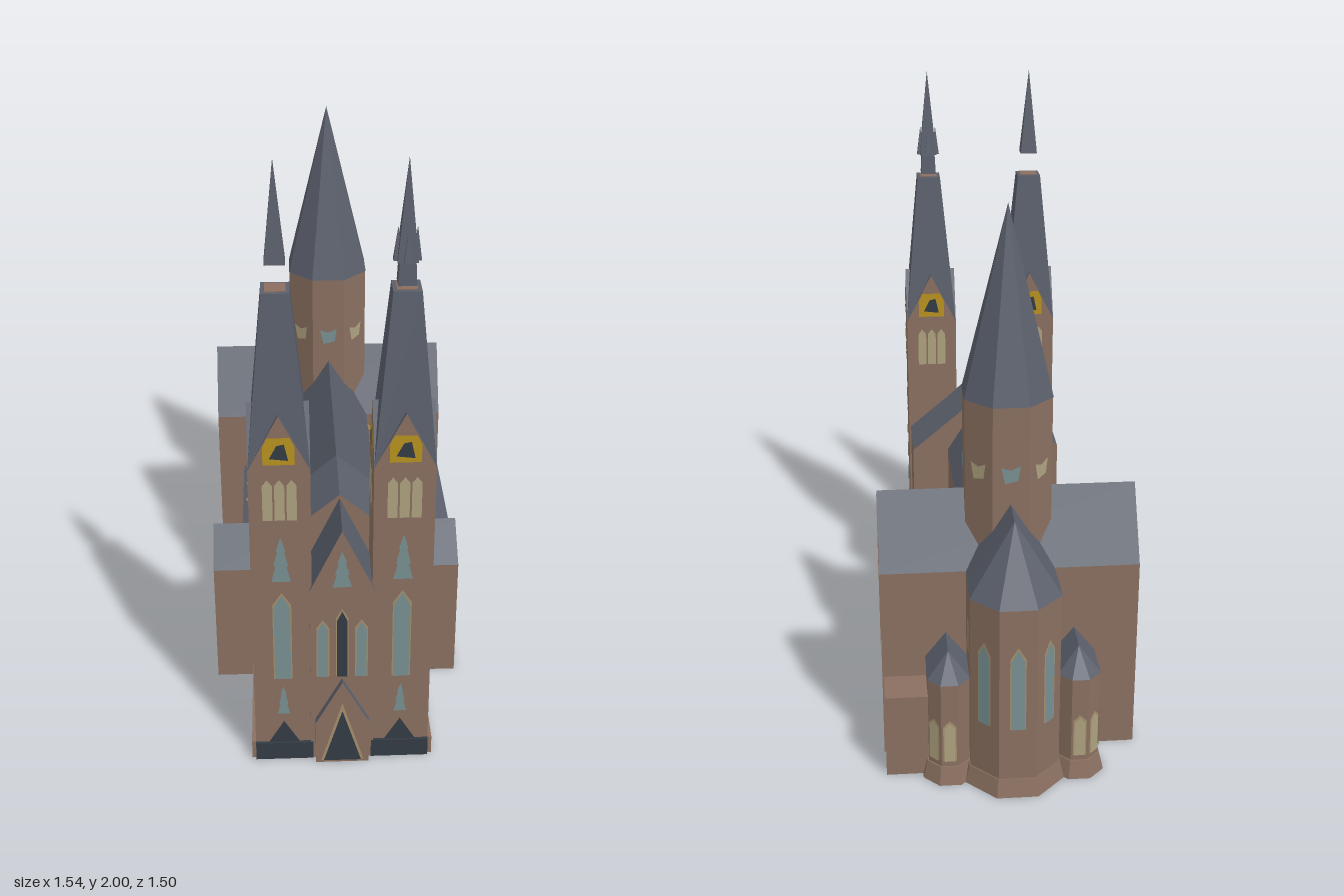
import * as THREE from 'three';

const mat = (name, color) => Object.assign(new THREE.MeshStandardMaterial({ color }), { name });

export function createModel() {
  const wall = mat('brown stone', 0x8a6f60), slate = mat('slate', 0x5a5f6b);
  const glass = mat('glass', 0x789093), dark = mat('dark door', 0x333b44);
  const cream = mat('cream louvre', 0xada17f), gold = mat('gold clock', 0xb8921e);
  const trim = mat('tan trim', 0xa58f6c);
  trim.side = THREE.DoubleSide;

  const root = new THREE.Group(); root.name = 'church';
  // Inside this group the church runs along z (west front at +z), crossing at the origin
  const church = new THREE.Group(); church.name = 'churchBody';
  church.position.set(0.29, 0, -0.335);
  church.rotation.y = -0.765;
  root.add(church);

  const add = (name, geo, m, parent = church) => {
    const mesh = new THREE.Mesh(geo, m);
    mesh.name = name;
    parent.add(mesh);
    return mesh;
  };
  const box = (name, x0, x1, y0, y1, z0, z1, m = wall) =>
    add(name, new THREE.BoxGeometry(Math.abs(x1 - x0), y1 - y0, Math.abs(z1 - z0))
      .translate((x0 + x1) / 2, (y0 + y1) / 2, (z0 + z1) / 2), m);
  // Faceted cylinder or cone with its flats on the axes
  const facet = (name, rTop, rBot, y0, y1, n, x, z, m) => {
    const g = new THREE.CylinderGeometry(rTop, rBot, y1 - y0, n).rotateY(Math.PI / n).toNonIndexed();
    g.computeVertexNormals();
    return add(name, g.translate(x, (y0 + y1) / 2, z), m);
  };
  const poly = pts => new THREE.Shape(pts.map(p => new THREE.Vector2(...p)));
  // Triangular roof prism: stone gable ends, slate slopes
  const roof = (name, w, len, eave, peak, x, z, ry = 0) => {
    const g = new THREE.ExtrudeGeometry(poly([[-w / 2, eave], [w / 2, eave], [0, peak]]), { depth: len, bevelEnabled: false });
    const mesh = add(name, g.translate(0, 0, -len / 2), [wall, slate]);
    mesh.position.set(x, 0, z);
    mesh.rotation.y = ry;
  };
  const plate = (name, pts, m, parent, lift) =>
    add(name, new THREE.ShapeGeometry(poly(pts)).translate(0, 0, lift), m, parent);
  const face = (name, x, y, z, ry) => {
    const g = new THREE.Group();
    g.name = name;
    g.position.set(x, y, z);
    g.rotation.y = ry;
    church.add(g);
    return g;
  };
  const lancet = (w, h) => [[-w / 2, 0], [w / 2, 0], [w / 2, h * 0.86], [0, h], [-w / 2, h * 0.86]];
  // Pointed window with a trim border
  const win = (x, y, z, w, h, ry, m = glass) => {
    const g = face('window', x, y, z, ry);
    plate('windowFrame', lancet(w + 0.008, h + 0.008), trim, g, 0.002);
    plate('windowPane', lancet(w, h), m, g, 0.004);
  };
  // Small stepped triangular tracery window
  const tracery = (x, y, z, w, h, ry) => {
    const a = w / 2;
    plate('traceryWindow', [[-a, 0], [a, 0], [a * 0.55, h * 0.35], [a * 0.75, h * 0.35], [a * 0.35, h * 0.68],
      [a * 0.5, h * 0.68], [0, h], [-a * 0.5, h * 0.68], [-a * 0.35, h * 0.68], [-a * 0.75, h * 0.35], [-a * 0.55, h * 0.35]],
      glass, face('tracery', x, y, z, ry), 0.003);
  };
  const Q = Math.PI / 2;

  // Nave, transept and west block
  box('naveWalls', -0.14, 0.14, 0, 0.655, -0.255, 0.83);
  roof('naveRoof', 0.28, 1.085, 0.655, 0.88, 0, 0.2875);
  box('transeptWalls', -0.41, 0.41, 0, 0.655, -0.137, 0.137);
  roof('transeptRoof', 0.274, 0.82, 0.655, 0.88, 0, 0, Q);
  box('westBlockWalls', -0.27, 0.27, 0, 0.655, 0.82, 1.06);
  roof('westBlockRoof', 0.54, 0.24, 0.655, 0.882, 0, 0.94);
  box('westFrontWall', -0.1, 0.1, 0, 0.655, 1.05, 1.245);
  roof('westFrontGable', 0.2, 0.195, 0.655, 0.87, 0, 1.1475);

  // West windows and portal
  for (const x of [-0.06, 0, 0.06]) win(x, 0.33, 1.245, 0.032, x ? 0.21 : 0.25, 0, x ? glass : dark);
  tracery(0, 0.67, 1.245, 0.06, 0.13, 0);
  box('portalWalls', -0.085, 0.085, 0, 0.16, 1.24, 1.268);
  roof('portalGable', 0.17, 0.028, 0.16, 0.32, 0, 1.254);
  const door = face('mainDoor', 0, 0.01, 1.268, 0);
  plate('doorFrame', [[-0.068, 0], [0.068, 0], [0, 0.23]], trim, door, 0.002);
  plate('doorLeaf', [[-0.06, 0], [0.06, 0], [0, 0.2]], dark, door, 0.004);

  // Crossing tower with octagonal spire
  facet('crossingTower', 0.147, 0.147, 0.66, 1.2, 8, 0, 0, wall);
  facet('crossingSpire', 0, 0.149, 1.2, 1.795, 8, 0, 0, slate);
  for (let i = 0; i < 8; i++) {
    const a = i * Math.PI / 4;
    const g = face('crossingWindow', Math.sin(a) * 0.136, 0.95, Math.cos(a) * 0.136, a);
    plate('crossingPane', [[-0.03, 0.055], [-0.018, 0], [0.022, 0.01], [0.03, 0.06], [0, 0.045]], i % 2 ? cream : glass, g, 0.003);
  }

  for (const s of [-1, 1]) {
    // West tower with four gables and a cut-off spire
    const tx = 0.185 * s, tz = 1.145, h = 0.092;
    box('towerShaft', tx - h, tx + h, 0, 1.08, tz - h, tz + h);
    facet('towerSpire', 0.058, 0.13, 1.08, 1.62, 4, tx, tz, slate);
    box('spireCap', tx - 0.03, tx + 0.03, 1.615, 1.623, tz - 0.03, tz + 0.03, wall);
    facet('spireTip', 0, 0.042, 1.7, 2, 4, tx, tz, slate);
    for (const ry of [0, Q]) roof('towerGable', 2 * h, 2 * h, 1.08, 1.26, tx, tz, ry);
    for (let i = 0; i < 4; i++) {
      const ry = i * Q, nx = Math.round(Math.sin(ry)), nz = Math.round(Math.cos(ry));
      const fx = tx + nx * h, fz = tz + nz * h;
      // Belfry louvres and clock
      for (const k of [-0.036, 0, 0.036])
        plate('louvre', lancet(0.03, 0.14), cream, face('belfry', fx + k * nz, 0.91, fz + k * nx, ry), 0.003);
      const c = face('clock', fx, 1.1, fz, ry);
      plate('clockPlate', [[-0.047, 0], [0.047, 0], [0.047, 0.06], [0.033, 0.09], [-0.033, 0.09], [-0.047, 0.06]], gold, c, 0.002);
      plate('clockFace', [[-0.028, 0.022], [0.028, 0.015], [0.016, 0.07], [-0.006, 0.065]], dark, c, 0.004);
      if (nz === 1 || nx === s) {
        tracery(fx, 0.69, fz, 0.06, 0.16, ry);
        win(fx, 0.32, fz, 0.05, 0.32, ry);
      }
    }
    tracery(tx, 0.18, tz + h, 0.04, 0.11, 0);
    plate('sideDoor', [[-0.05, 0.065], [0.05, 0.065], [0, 0.15]], dark, face('towerDoor', tx, 0, tz + h, 0), 0.003);
    box('towerStep', tx - h, tx + h, 0, 0.065, tz + h, tz + h + 0.01, dark);
    box('westPlinth', 0.26 * s, 0.29 * s, 0, 0.065, 0.82, tz + h);

    // Aisle with lean-to roof, narrower on the right-hand side of the model
    const out = s > 0 ? 0.41 : 0.32;
    box('aisleWall', 0.12 * s, out * s, 0, 0.44, 0.12, 0.58);
    add('aisleRoof', new THREE.ExtrudeGeometry(poly([[0.13 * s, 0.44], [out * s, 0.44], [0.13 * s, 0.545]]),
      { depth: 0.46, bevelEnabled: false }).translate(0, 0, 0.12), [wall, slate]);
    if (s < 0) box('aislePlinth', -0.345, -0.3, 0, 0.06, 0.137, 0.56);
    for (const z of [0.5, 0.39, 0.27]) win(out * s, 0.12, z, 0.045, 0.2, s * Q, z === 0.5 ? dark : glass);
    for (const z of [0.53, 0.42, 0.31, 0.2]) {
      tracery(0.14 * s, 0.56, z, 0.05, 0.08, s * Q);
      // Flying buttress
      const b = add('flyingButtress', new THREE.BoxGeometry(0.2, 0.012, 0.006), trim);
      b.position.set(0.22 * s, 0.56, z - 0.05);
      b.rotation.z = -0.58 * s;
    }

    // Gabled side chapel
    box('sideChapelWalls', 0.1 * s, 0.413 * s, 0, 0.44, 0.56, 0.815);
    roof('sideChapelRoof', 0.255, 0.313, 0.44, 0.545, 0.2565 * s, 0.6875, Q);
    for (const k of [-0.06, 0.06]) win(0.413 * s, 0.12, 0.6875 + k, 0.042, 0.21, s * Q);

    // Transept end windows
    for (const k of [-0.075, 0, 0.075]) win(0.41 * s, 0.215, k, 0.044, k ? 0.36 : 0.35, s * Q, k ? glass : dark);
    tracery(0.41 * s, 0.69, 0, 0.06, 0.13, s * Q);

    // Small chapel beside the apse
    const ax = 0.205 * s;
    box('apseChapelWalls', ax - 0.065, ax + 0.065, 0, 0.355, -0.25, -0.12);
    facet('apseChapelEnd', 0.07, 0.07, 0, 0.355, 8, ax, -0.25, wall);
    facet('apseChapelCone', 0, 0.073, 0.355, 0.44, 8, ax, -0.25, slate);
    roof('apseChapelRoof', 0.134, 0.13, 0.355, 0.44, ax, -0.185);
    facet('apseChapelPlinth', 0.075, 0.09, 0, 0.06, 8, ax, -0.25, wall);
    for (const a of [Math.PI, Math.PI - s * Math.PI / 4, s * Q])
      win(ax + Math.sin(a) * 0.066, 0.08, -0.25 + Math.cos(a) * 0.066, 0.034, 0.14, a, cream);
  }

  // Crown around the tip of the left tower
  facet('crownDrum', 0.033, 0.038, 1.63, 1.7, 4, 0.185, 1.145, slate);
  for (const [dx, dz] of [[1, 0], [-1, 0], [0, 1], [0, -1]])
    facet('crownPinnacle', 0, 0.018, 1.7, 1.8, 4, 0.185 + dx * 0.027, 1.145 + dz * 0.027, slate);

  // Polygonal apse
  facet('apseWalls', 0.1515, 0.1515, 0, 0.655, 8, 0, -0.255, wall);
  facet('apseRoof', 0, 0.1535, 0.655, 0.88, 8, 0, -0.255, slate);
  facet('apsePlinth', 0.155, 0.17, 0, 0.06, 8, 0, -0.255, wall);
  for (let i = 2; i <= 6; i++) {
    const a = i * Math.PI / 4, low = i > 2 && i < 6;
    win(Math.sin(a) * 0.14, low ? 0.24 : 0.45, -0.255 + Math.cos(a) * 0.14, 0.042, low ? 0.28 : 0.1, a);
  }

  // Low sacristy behind the left transept arm
  box('sacristy', 0.26, 0.405, 0, 0.285, -0.262, -0.13);
  return root;
}
